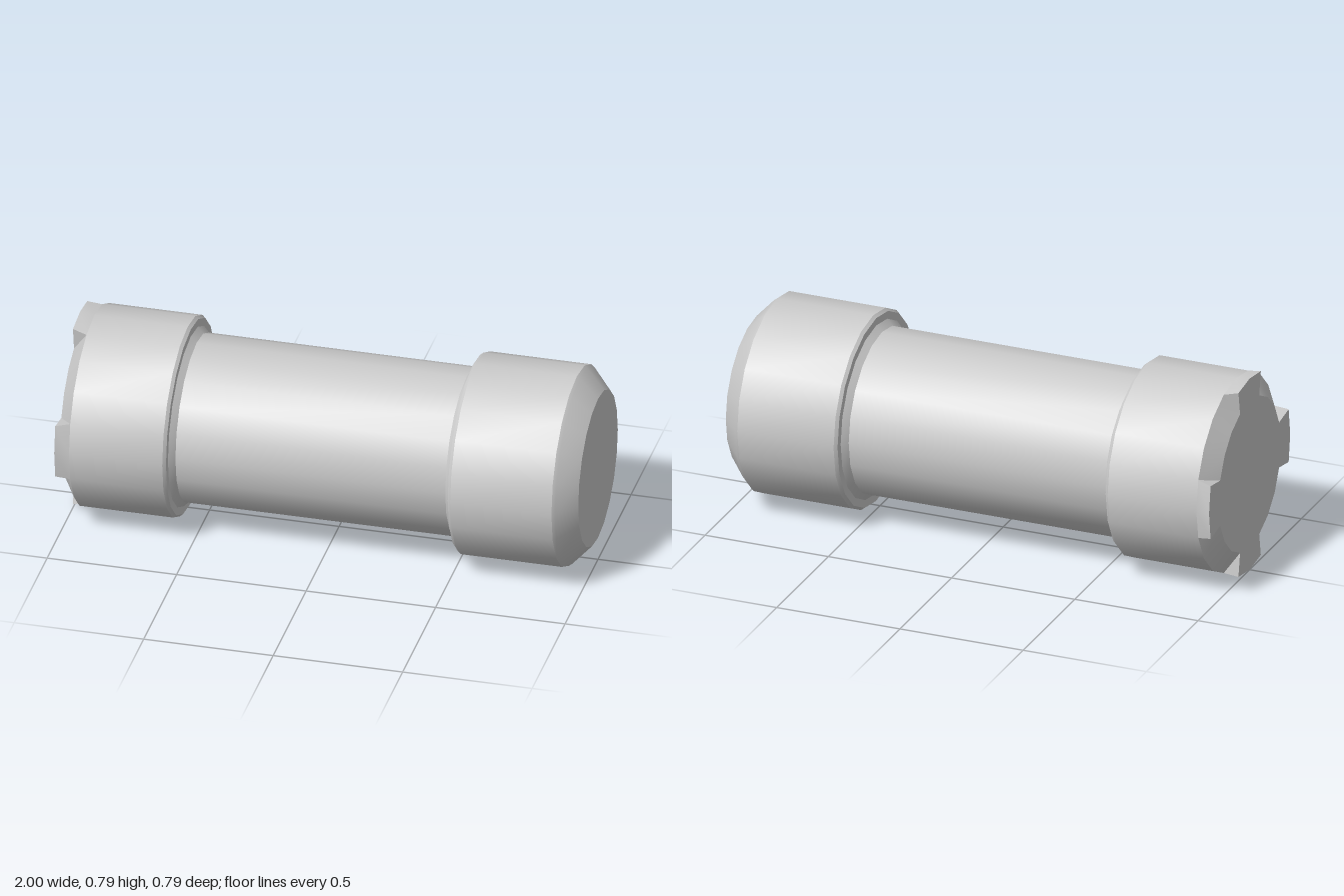
import * as THREE from 'three';
import { toCreasedNormals } from 'three/addons/utils/BufferGeometryUtils.js';

const SIDES = 20;
const AXIS_Y = 0.393;
const material = new THREE.MeshStandardMaterial({ color: 0xcccccc });

// Solid of revolution around the x axis; profile is [x, radius] from -x to +x
function turned(name, profile) {
  const points = profile.map(([x, r]) => new THREE.Vector2(r, x));
  const geometry = new THREE.LatheGeometry(points, SIDES).rotateZ(-Math.PI / 2);
  const mesh = new THREE.Mesh(toCreasedNormals(geometry, Math.PI / 6), material);
  mesh.name = name;
  return mesh;
}

// Wedge tooth that fills the end chamfer over two sides of the collar
function toothGeometry() {
  const at = (x, r, degrees) => {
    const a = THREE.MathUtils.degToRad(degrees);
    return [x, r * Math.cos(a), r * Math.sin(a)];
  };
  // Cross-sections: inner end, outer end (slightly flared), root on the collar
  const sections = [-1, 0, 1].map((s) => [
    at(-1, 0.3, 18 * s), at(-1, 0.393, 16 * s), at(-0.945, 0.385, 18 * s),
  ]);
  const positions = [];
  const tri = (...corners) => corners.forEach((c) => positions.push(...c));
  const quad = (a, b, c, d) => { tri(a, b, c); tri(a, c, d); };
  for (let i = 0; i < 2; i++) {
    const [a, b, c] = sections[i];
    const [a2, b2, c2] = sections[i + 1];
    quad(a, a2, b2, b);
    quad(b, b2, c2, c);
  }
  const [first, , last] = sections;
  tri(first[0], first[1], first[2]);
  tri(last[0], last[2], last[1]);
  const geometry = new THREE.BufferGeometry();
  geometry.setAttribute('position', new THREE.Float32BufferAttribute(positions, 3));
  return toCreasedNormals(geometry, Math.PI / 6);
}

export function createModel() {
  const model = new THREE.Group();
  model.name = 'cylinder';

  // Toothed collar with chamfered end, rounded rim and fillet onto the shaft
  model.add(turned('collar', [
    [-1, 0], [-1, 0.3], [-0.945, 0.385], [-0.585, 0.385],
    [-0.573, 0.375], [-0.573, 0.345], [-0.55, 0.322],
  ]));

  model.add(turned('shaft', [[-0.55, 0.322], [0.492, 0.322]]));

  // Plain head with chamfered end
  model.add(turned('head', [
    [0.492, 0.322], [0.515, 0.345], [0.515, 0.375], [0.527, 0.385],
    [0.918, 0.385], [0.93, 0.376], [1, 0.3], [1, 0],
  ]));

  // Four teeth around the collar end
  const tooth = toothGeometry();
  for (let i = 0; i < 4; i++) {
    const mesh = new THREE.Mesh(tooth, material);
    mesh.name = 'tooth';
    mesh.rotation.x = (i * Math.PI) / 2;
    model.add(mesh);
  }

  model.children.forEach((part) => { part.position.y = AXIS_Y; });
  return model;
}
